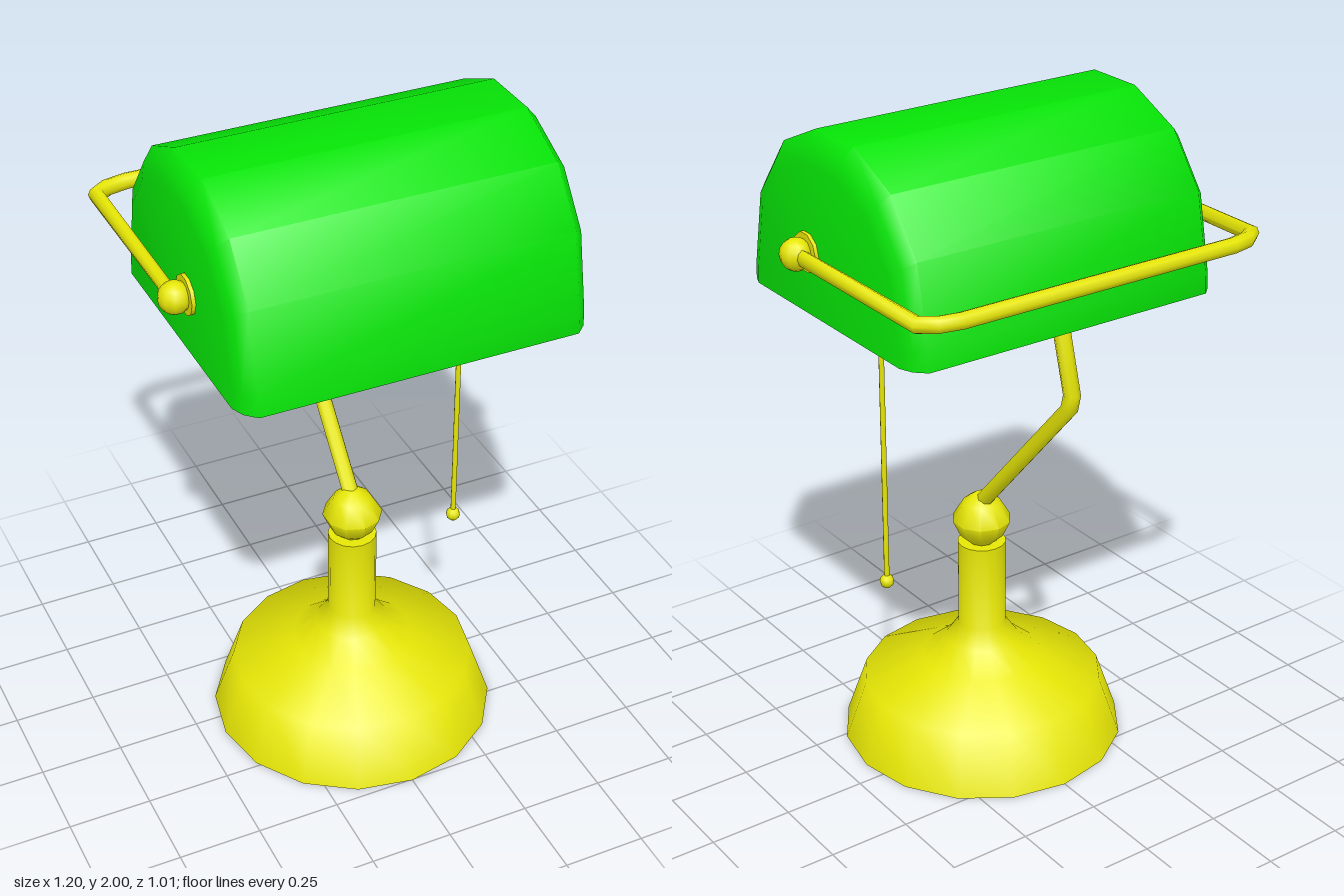
import * as THREE from 'three';
import { toCreasedNormals } from 'three/addons/utils/BufferGeometryUtils.js';

const V = (x, y, z) => new THREE.Vector3(x, y, z);
const paint = color => new THREE.MeshStandardMaterial({ color, side: THREE.DoubleSide });

// Skin a list of rings (equal-length arrays of points) with quads
function loft(rings, crease, closed = false) {
  const n = rings[0].length, index = [];
  for (let k = 0; k < rings.length - 1; k++) {
    for (let i = 0; i < (closed ? n : n - 1); i++) {
      const j = (i + 1) % n;
      const a = k * n + i, b = k * n + j, c = a + n, d = b + n;
      index.push(a, c, b, b, c, d);
    }
  }
  const g = new THREE.BufferGeometry().setFromPoints(rings.flat());
  g.setIndex(index);
  return toCreasedNormals(g, crease);
}

// Rod with angled bends in the plane across the given normal; endRadius narrows its ends in that plane
function rod(points, radius, planeNormal, endRadius = radius, sides = 8) {
  const last = points.length - 1;
  const rings = points.map((p, k) => {
    const before = p.clone().sub(points[Math.max(k - 1, 0)]).normalize();
    const after = points[Math.min(k + 1, last)].clone().sub(p).normalize();
    const across = planeNormal.clone().cross(before.add(after)).normalize();
    const width = k === 0 || k === last ? endRadius : radius;
    return Array.from({ length: sides }, (_, i) => {
      const t = -i / sides * Math.PI * 2;
      return p.clone()
        .addScaledVector(across, Math.cos(t) * width)
        .addScaledVector(planeNormal, Math.sin(t) * radius);
    });
  });
  return loft(rings, 1.1, true);
}

// Turned part from [radius, height] pairs
function turned(profile, sides) {
  const points = profile.map(p => new THREE.Vector2(...p));
  return toCreasedNormals(new THREE.LatheGeometry(points, sides), 1);
}

export function createModel() {
  const lamp = new THREE.Group();
  const brass = paint(0xe6e606), green = paint(0x06e406), blue = paint(0x0000d0);
  const add = (name, geometry, material, x = 0, y = 0, z = 0) => {
    const mesh = new THREE.Mesh(geometry, material);
    mesh.name = name;
    mesh.position.set(x, y, z);
    lamp.add(mesh);
    return mesh;
  };
  const cz = 0.072;

  // Hollow base flowing into the neck, with a faceted ball on top
  add('base', turned([[0.431, 0], [0.367, 0.185], [0.185, 0.25], [0.11, 0.315],
    [0.073, 0.37], [0.073, 0.645], [0, 0.645]], 16), brass, 0, 0, cz);
  add('neckBall', turned([[0.035, -0.08], [0.066, -0.052], [0.09, 0], [0.056, 0.058],
    [0.022, 0.083], [0, 0.083]], 10), brass, 0, 0.72, cz);

  // Bent arm rising into the shade behind its back edge
  add('arm', rod([V(0, 0.77, 0.075), V(0, 1.245, -0.35), V(0, 1.29, -0.361),
    V(0, 1.48, -0.306), V(0, 1.66, -0.255)], 0.025, V(1, 0, 0)), brass);

  // Shade: half-round arch with rounded ends; the inner skin has a flat ceiling
  const bottom = 1.48, ceiling = 0.165;
  const arch = [[0.435, 0], [0.43, 0.06], [0.384, 0.29], [0.269, 0.44], [0.093, 0.52],
    [-0.093, 0.52], [-0.269, 0.44], [-0.384, 0.29], [-0.43, 0.06], [-0.435, 0]];
  const half = [[0.516, 0], [0.516, 0.84], [0.5, 0.93], [0.468, 1]];
  const stations = [...half, ...half.slice().reverse().map(([x, s]) => [-x, s])];
  const skin = (lengthScale, size, top) => stations.map(([x, s]) => arch.map(([z, y]) =>
    V(x * lengthScale, bottom + Math.min(y * s * size, top), cz + z * s * size)));
  const outer = skin(1, 1, 1), inner = skin(0.955, 0.945, ceiling);
  add('shadeOuter', loft(outer, 0.9), green);
  add('shadeInner', loft(inner.slice().reverse(), 0.9), green);
  for (const end of [0, arch.length - 1]) {
    add('shadeRim', loft(outer.map((ring, k) => [ring[end], inner[k][end]]), 0.5), green);
  }

  // Tube bulb below the ceiling
  const bulb = add('bulb', new THREE.CylinderGeometry(0.035, 0.035, 0.8, 10), blue, 0, 1.575, 0.1);
  bulb.rotation.z = Math.PI / 2;

  // Bracket around the back of the shade, with pivots at both ends
  const py = 1.665, pz = 0.154;
  const side = [[0.555, 0.14], [0.555, -0.44], [0.513, -0.47], [0.45, -0.483]];
  const path = [...side, ...side.slice().reverse().map(([x, z]) => [-x, z])];
  add('bracket', rod(path.map(([x, z]) => V(x, py, z)), 0.024, V(0, 1, 0), 0.018), brass);
  for (const s of [1, -1]) {
    add('pivotKnob', new THREE.SphereGeometry(0.047, 10, 8), brass, s * 0.553, py, pz);
    const washer = add('pivotWasher', new THREE.CylinderGeometry(0.058, 0.058, 0.03, 10),
      brass, s * 0.512, py, pz);
    washer.rotation.z = Math.PI / 2;
  }

  // Pull cord hanging from the ceiling
  add('pullCord', new THREE.CylinderGeometry(0.008, 0.008, 1.03, 8), brass, 0.336, 1.135, 0.08);
  add('pullBead', new THREE.SphereGeometry(0.022, 8, 6), brass, 0.336, 0.61, 0.08);

  return lamp;
}
